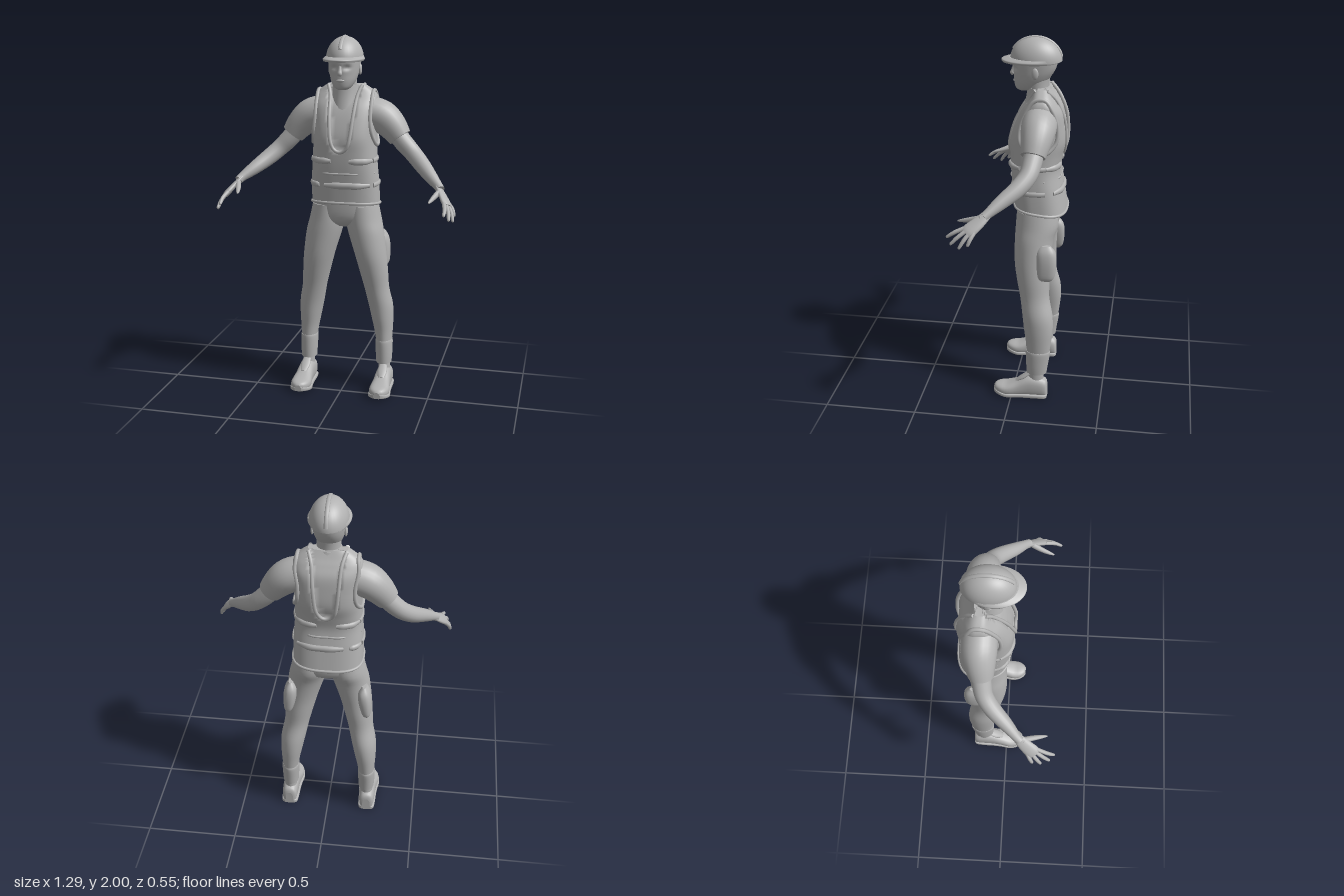
import * as THREE from 'three';

const grey = new THREE.MeshStandardMaterial({ color: 0xb2b2b2 });
grey.name = 'plain grey';
const V = (x, y, z) => new THREE.Vector3(x, y, z);
const spow = (v, e) => Math.sign(v) * Math.pow(Math.abs(v), e);

// Catmull-Rom refinement of rows of numbers
function refine(rows, n) {
  const out = [], at = i => rows[Math.max(0, Math.min(rows.length - 1, i))];
  for (let i = 0; i < rows.length - 1; i++)
    for (let k = 0; k < n; k++) {
      const t = k / n;
      out.push(rows[i].map((b, c) => {
        const a = at(i - 1)[c], d = at(i + 1)[c], e = at(i + 2)[c];
        return b + 0.5 * t * (d - a + t * (2 * a - 5 * b + 4 * d - e + t * (3 * (b - d) + e - a)));
      }));
    }
  out.push(rows[rows.length - 1]);
  return out;
}

// Smooth closed skin over rings of points, with flat end caps
function skin(rings) {
  const n = rings[0].length, pos = [], idx = [];
  rings.forEach(r => r.forEach(p => pos.push(p.x, p.y, p.z)));
  for (let i = 0; i < rings.length - 1; i++)
    for (let j = 0; j < n; j++) {
      const a = i * n + j, b = i * n + (j + 1) % n;
      idx.push(a, a + n, b, b, a + n, b + n);
    }
  [rings[0], rings[rings.length - 1]].forEach((r, end) => {
    const base = pos.length / 3, c = V(0, 0, 0);
    r.forEach(p => { pos.push(p.x, p.y, p.z); c.addScaledVector(p, 1 / n); });
    pos.push(c.x, c.y, c.z);
    for (let j = 0; j < n; j++) {
      const a = base + j, b = base + (j + 1) % n;
      idx.push(...(end ? [a, base + n, b] : [a, b, base + n]));
    }
  });
  // turn the faces outward
  const p = i => V(pos[3 * i], pos[3 * i + 1], pos[3 * i + 2]);
  let volume = 0;
  for (let i = 0; i < idx.length; i += 3) volume += p(idx[i]).dot(p(idx[i + 1]).cross(p(idx[i + 2])));
  if (volume < 0) idx.reverse();
  const g = new THREE.BufferGeometry();
  g.setAttribute('position', new THREE.Float32BufferAttribute(pos, 3));
  g.setIndex(idx);
  g.computeVertexNormals();
  return g;
}

// Horizontal sections [y, cx, cz, rx, rz], with an optional vertex rule
function loft(rows, { n = 28, p = 2, sub = 4, rule } = {}) {
  return skin(refine(rows, sub).map(([y, cx, cz, rx, rz]) => Array.from({ length: n }, (_, j) => {
    const a = j / n * 2 * Math.PI;
    const v = V(cx + rx * spow(Math.cos(a), 2 / p), y, cz + rz * spow(Math.sin(a), 2 / p));
    if (rule) rule(v, cz);
    return v;
  })));
}

// Round or flattened limb through [x, y, z, radius]
function limb(rows, { n = 16, sub = 4, side = V(0, 0, 1), flat = 1 } = {}) {
  const r = refine(rows, sub), pt = i => V(...r[i].slice(0, 3));
  return skin(r.map((row, i) => {
    const t = pt(Math.min(i + 1, r.length - 1)).sub(pt(Math.max(i - 1, 0))).normalize();
    const u = side.clone().addScaledVector(t, -side.dot(t)).normalize(), w = t.clone().cross(u);
    return Array.from({ length: n }, (_, j) => {
      const a = j / n * 2 * Math.PI;
      return pt(i).addScaledVector(u, Math.cos(a) * row[3]).addScaledVector(w, Math.sin(a) * row[3] * flat);
    });
  }));
}

function ball(x, y, z, rx, ry, rz) {
  return new THREE.SphereGeometry(1, 20, 14).scale(rx, ry, rz).translate(x, y, z);
}

function mirrored(g) {
  const m = g.clone().scale(-1, 1, 1);
  m.setIndex(Array.from(m.index.array).reverse());
  return m;
}

// Torso sections and points on its surface
const P = 2.7;
const torsoRows = [
  [1.085, 0, -0.13, 0.187, 0.14], [1.2, 0, -0.115, 0.185, 0.135], [1.3, 0, -0.102, 0.178, 0.132],
  [1.38, 0, -0.106, 0.174, 0.14], [1.46, 0, -0.115, 0.172, 0.15], [1.55, 0, -0.125, 0.175, 0.136],
  [1.62, 0, -0.135, 0.178, 0.115], [1.67, 0, -0.14, 0.174, 0.083], [1.705, 0, -0.14, 0.15, 0.06],
  [1.74, 0, -0.135, 0.1, 0.045]];
const torsoFine = refine(torsoRows, 6);
function section(y) {
  const i = Math.max(1, torsoFine.findIndex(r => r[0] >= y)), a = torsoFine[i - 1], b = torsoFine[i];
  const t = (y - a[0]) / (b[0] - a[0]);
  return a.map((v, k) => v + (b[k] - v) * t);
}
const rest = q => Math.pow(Math.max(0, 1 - Math.pow(Math.abs(q), P)), 1 / P);
function torsoZ(x, y, face) {
  const [, , cz, rx, rz] = section(y);
  return cz + face * rz * rest(x / rx);
}
function torsoX(z, y) {
  const [, , cz, rx, rz] = section(y);
  return rx * rest((z - cz) / rz);
}
const neckWidth = y => y < 1.42 ? (y - 1.38) * 1.1 : 0.045 + (y - 1.42) * 0.14;

export function createModel() {
  const model = new THREE.Group();
  const add = (name, g) => {
    const m = new THREE.Mesh(g, grey);
    m.name = name;
    model.add(m);
  };
  const pair = (name, g) => { add('left ' + name, g); add('right ' + name, mirrored(g)); };

  // Vest, sunk to the shirt inside the neckline, hem lower at the back
  add('vest', loft(torsoRows, { n: 72, p: P, sub: 6, rule: (v, cz) => {
    if (v.y > 1.38 && Math.abs(v.x) < neckWidth(v.y)) v.z -= Math.sign(v.z - cz) * 0.014;
    if (v.y < 1.2) v.y += (v.z + 0.1) * 0.12 * (1.2 - v.y) / 0.115;
  } }));
  const hem = Array.from({ length: 40 }, (_, j) => {
    const a = j / 40 * 2 * Math.PI, z = 0.14 * spow(Math.sin(a), 2 / P) - 0.13;
    return V(0.187 * spow(Math.cos(a), 2 / P), 1.088 + (z + 0.1) * 0.12, z);
  });
  const loop = (pts, r) => new THREE.TubeGeometry(new THREE.CatmullRomCurve3(pts, true), 80, r, 8, true);
  add('vest hem', loop(hem, 0.008));

  // Neckline and armhole piping
  const half = [[0.095, 1.735], [0.075, 1.68], [0.066, 1.58], [0.054, 1.46], [0.035, 1.405]];
  const neckline = [...half, [0, 1.385], ...half.map(([x, y]) => [-x, y]).reverse()];
  for (const [name, f] of [['front', 1], ['back', -1]])
    add(name + ' neckline', limb(neckline.map(([x, y]) => [x, y, torsoZ(x, y, f), 0.01]), { n: 8 }));
  const armhole = [[-0.115, 1.7], [-0.065, 1.64], [-0.035, 1.56], [-0.035, 1.48], [-0.085, 1.42],
    [-0.165, 1.42], [-0.22, 1.48], [-0.225, 1.56], [-0.2, 1.65], [-0.165, 1.7]];
  pair('armhole trim', loop(armhole.map(([z, y]) => V(torsoX(z, y) + 0.003, y, z)), 0.011));

  // Pocket flaps and waist bands on the vest
  const flap = (name, x0, x1, y, f, r) => add(name, limb([0, 1, 2, 3, 4].map(i => {
    const x = x0 + (x1 - x0) * i / 4;
    return [x, y, torsoZ(x, y, f), r * (i % 4 ? 1 : 0.6)];
  }), { n: 10, side: V(0, 1, 0), flat: 0.7 }));
  for (const f of [1, -1]) {
    for (const s of [1, -1]) flap('upper pocket flap', s * 0.05, s * 0.165, 1.335, f, 0.017);
    flap('lower pocket flap', -0.09, 0.155, 1.2, f, 0.018);
    flap('small pocket flap', -0.175, -0.12, 1.2, f, 0.016);
    flap('waist seam', -0.174, 0.174, 1.265, f, 0.006);
  }
  for (const y of [1.335, 1.2])
    pair('side flap', limb([-0.17, -0.13, -0.08, -0.04].map(z => [torsoX(z, y), y, z, 0.014]),
      { n: 8, side: V(0, 1, 0), flat: 0.6 }));

  // Neck and collar
  add('neck', loft([[1.64, 0, -0.125, 0.07, 0.07], [1.72, 0, -0.108, 0.062, 0.056],
    [1.82, 0, -0.105, 0.062, 0.07]]));
  add('shirt collar', loft([[1.6, 0, -0.125, 0.085, 0.1], [1.68, 0, -0.118, 0.076, 0.074],
    [1.735, 0, -0.112, 0.069, 0.06]]));

  // Head with eye sockets, nose, lips and ears
  add('head', loft([[1.715, 0, -0.04, 0.025, 0.035], [1.728, 0, -0.045, 0.045, 0.055],
    [1.76, 0, -0.065, 0.065, 0.083], [1.8, 0, -0.08, 0.077, 0.1], [1.84, 0, -0.088, 0.083, 0.113],
    [1.89, 0, -0.093, 0.088, 0.12]], { n: 48, sub: 6, p: 2.15, rule: v => {
    const d = ((Math.abs(v.x) - 0.034) / 0.02) ** 2 + ((v.y - 1.835) / 0.014) ** 2;
    if (v.z > -0.05) v.z -= 0.014 * Math.exp(-d);
  } }));
  add('nose', limb([[0, 1.847, 0.016, 0.008], [0, 1.82, 0.023, 0.011], [0, 1.802, 0.027, 0.014],
    [0, 1.794, 0.022, 0.007]], { n: 12 }));
  add('lips', ball(0, 1.766, 0.012, 0.024, 0.009, 0.012));
  pair('ear', ball(0.084, 1.82, -0.1, 0.009, 0.03, 0.018));

  // Hard hat: dome, brim and centre ridge
  add('hat dome', new THREE.SphereGeometry(1, 36, 16, 0, Math.PI * 2, 0, Math.PI / 2)
    .scale(0.1, 0.122, 0.136).translate(0, 1.873, -0.095));
  add('hat brim', loft([[1.866, 0, -0.068, 0.106, 0.15], [1.874, 0, -0.068, 0.11, 0.153],
    [1.88, 0, -0.07, 0.109, 0.151], [1.89, 0, -0.09, 0.1, 0.137]], { n: 40, sub: 2 }));
  add('hat ridge', limb(Array.from({ length: 13 }, (_, i) => {
    const a = 0.5 + (Math.PI - 0.7) * i / 12;
    return [0, 1.873 + 0.121 * Math.sin(a), -0.095 + 0.135 * Math.cos(a), 0.011];
  }), { n: 10, side: V(1, 0, 0), flat: 0.6 }));

  // Arms
  pair('sleeve', limb([[0.13, 1.585, -0.135, 0.09], [0.2, 1.562, -0.135, 0.09],
    [0.255, 1.515, -0.13, 0.08], [0.302, 1.455, -0.122, 0.064]], { n: 24 }));
  pair('arm', limb([[0.27, 1.49, -0.128, 0.05], [0.32, 1.43, -0.12, 0.051], [0.375, 1.375, -0.105, 0.047],
    [0.43, 1.325, -0.06, 0.044], [0.49, 1.275, 0.01, 0.036], [0.54, 1.235, 0.065, 0.025],
    [0.555, 1.22, 0.085, 0.024]], { n: 20 }));

  // Hands: flat palm, four fingers and a thumb
  const across = V(0.35, -0.23, -0.91).normalize();
  pair('palm', limb([[0.54, 1.235, 0.065, 0.024], [0.572, 1.195, 0.11, 0.034], [0.596, 1.163, 0.15, 0.039],
    [0.605, 1.15, 0.165, 0.034]], { side: across, flat: 0.42 }));
  [[0.6, 1.12, 0.268], [0.624, 1.092, 0.245], [0.64, 1.078, 0.2], [0.641, 1.095, 0.155]].forEach((tip, i) => {
    const b = V(0.597, 1.163, 0.15).addScaledVector(across, -0.029 + i * 0.019), t = V(...tip);
    const m = b.clone().lerp(t, 0.55).add(V(0.004, 0.005, 0));
    pair('finger', limb([[...b, 0.011], [...m, 0.0105], [...b.clone().lerp(t, 0.92), 0.008], [...t, 0.003]],
      { n: 10, side: across }));
  });
  pair('thumb', limb([[0.555, 1.215, 0.095, 0.016], [0.535, 1.195, 0.15, 0.014], [0.522, 1.182, 0.195, 0.01],
    [0.515, 1.175, 0.224, 0.004]], { n: 10, side: V(0, 1, 0) }));

  // Trousers
  add('trouser seat', loft([[0.955, 0, -0.12, 0.08, 0.06], [0.985, 0, -0.12, 0.15, 0.1],
    [1.03, 0, -0.12, 0.188, 0.115], [1.12, 0, -0.12, 0.177, 0.118]], { n: 36, p: 2.3 }));
  pair('trouser leg', loft([[1.08, 0.095, -0.12, 0.09, 0.11], [1.0, 0.102, -0.12, 0.1, 0.115],
    [0.92, 0.12, -0.107, 0.1, 0.105], [0.8, 0.146, -0.103, 0.089, 0.098], [0.7, 0.164, -0.11, 0.08, 0.09],
    [0.6, 0.18, -0.12, 0.07, 0.08], [0.5, 0.2, -0.138, 0.069, 0.083], [0.42, 0.21, -0.145, 0.062, 0.08],
    [0.34, 0.217, -0.147, 0.052, 0.07], [0.27, 0.221, -0.145, 0.044, 0.063]]));
  pair('trouser cuff', loft([[0.288, 0.221, -0.145, 0.046, 0.066], [0.27, 0.221, -0.145, 0.049, 0.068],
    [0.2, 0.222, -0.141, 0.047, 0.061], [0.15, 0.222, -0.139, 0.044, 0.056]]));
  pair('ankle', loft([[0.17, 0.224, -0.14, 0.034, 0.042], [0.08, 0.226, -0.135, 0.034, 0.042]]));
  pair('thigh pouch', loft([[0.72, 0.218, -0.18, 0.012, 0.03], [0.745, 0.214, -0.18, 0.026, 0.05],
    [0.82, 0.206, -0.183, 0.036, 0.056], [0.88, 0.2, -0.18, 0.033, 0.052], [0.918, 0.2, -0.175, 0.012, 0.03]],
    { p: 2.4 }));

  // Shoes from upright sections [z, half width, height]
  const shoeRows = [[-0.2, 0.022, 0.08], [-0.188, 0.04, 0.11], [-0.13, 0.045, 0.127], [-0.08, 0.046, 0.12],
    [-0.03, 0.05, 0.094], [0.02, 0.057, 0.074], [0.06, 0.051, 0.062], [0.088, 0.034, 0.05], [0.1, 0.015, 0.036]];
  const shoe = (widen, cap, e) => skin(refine(shoeRows, 3).map(([z, w, h]) => Array.from({ length: 24 }, (_, j) => {
    const a = j / 24 * 2 * Math.PI, top = Math.min(h, cap), lift = Math.max(0, z - 0.03) * 0.2;
    return V(0.228 + (w + widen) * spow(Math.cos(a), e), lift + top / 2 * (1 + spow(Math.sin(a), e)), z);
  })));
  pair('shoe', shoe(0, 1, 0.8));
  pair('shoe sole', shoe(0.005, 0.024, 0.4));
  pair('shoe tongue', limb([[0.226, 0.14, -0.1, 0.022], [0.227, 0.112, -0.062, 0.027], [0.228, 0.088, -0.025, 0.016]],
    { n: 12, side: V(1, 0, 0), flat: 0.4 }));
  return model;
}
